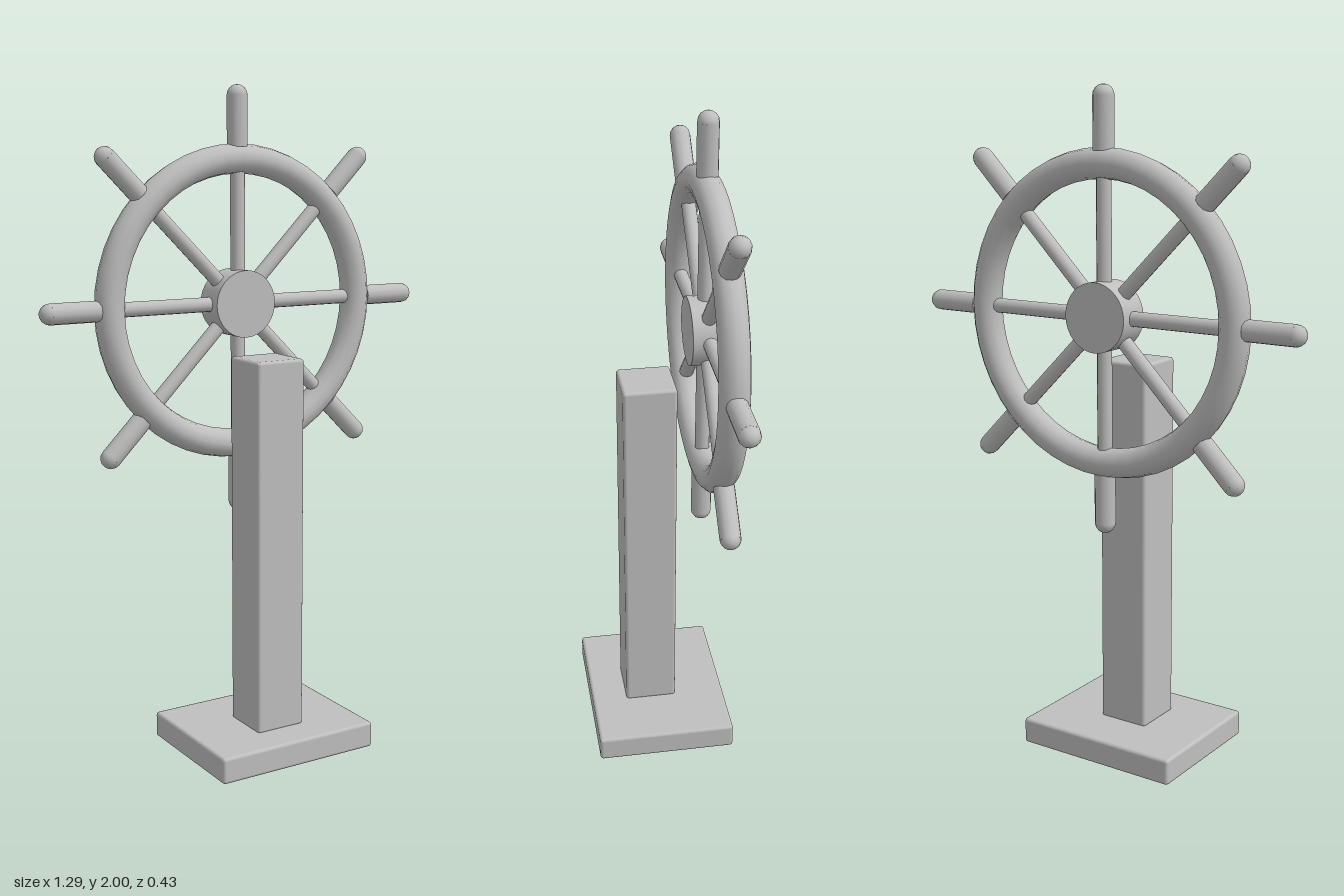
import * as THREE from 'three';
import { RoundedBoxGeometry } from 'three/addons/geometries/RoundedBoxGeometry.js';

const plainGrey = new THREE.MeshStandardMaterial({ color: 0xbfbfbf });
plainGrey.name = 'plainGrey';

function addPart(parent, name, geometry, x = 0, y = 0, z = 0) {
  const mesh = new THREE.Mesh(geometry, plainGrey);
  mesh.name = name;
  mesh.position.set(x, y, z);
  parent.add(mesh);
  return mesh;
}

export function createModel() {
  const model = new THREE.Group();
  model.name = 'steeringWheelStand';

  // Stand: softened base slab and square post
  addPart(model, 'base', new RoundedBoxGeometry(0.53, 0.08, 0.426, 2, 0.01), 0, 0.04, 0);
  addPart(model, 'post', new RoundedBoxGeometry(0.16, 1.135, 0.16, 2, 0.01), 0, 0.6425, 0.024);

  // Wheel: centred on its own axis, standing behind the post
  const wheel = new THREE.Group();
  wheel.name = 'wheel';
  wheel.position.set(0, 1.357, -0.145);
  model.add(wheel);

  addPart(wheel, 'rim', new THREE.TorusGeometry(0.429, 0.044, 12, 48));
  const hub = addPart(wheel, 'hub', new THREE.CylinderGeometry(0.101, 0.101, 0.1, 32));
  hub.rotation.x = Math.PI / 2;

  // Eight spokes, each with a thicker handle and a round tip
  const spokeGeometry = new THREE.CylinderGeometry(0.022, 0.022, 0.38, 12);
  const handleGeometry = new THREE.CylinderGeometry(0.031, 0.031, 0.15, 12);
  const tipGeometry = new THREE.SphereGeometry(0.031, 12, 8);
  for (let i = 0; i < 8; i++) {
    const arm = new THREE.Group();
    arm.name = 'arm' + (i + 1);
    arm.rotation.z = (i * Math.PI) / 4;
    addPart(arm, 'spoke', spokeGeometry, 0, 0.25, 0);
    addPart(arm, 'handle', handleGeometry, 0, 0.539, 0);
    addPart(arm, 'handleTip', tipGeometry, 0, 0.613, 0);
    wheel.add(arm);
  }

  return model;
}
